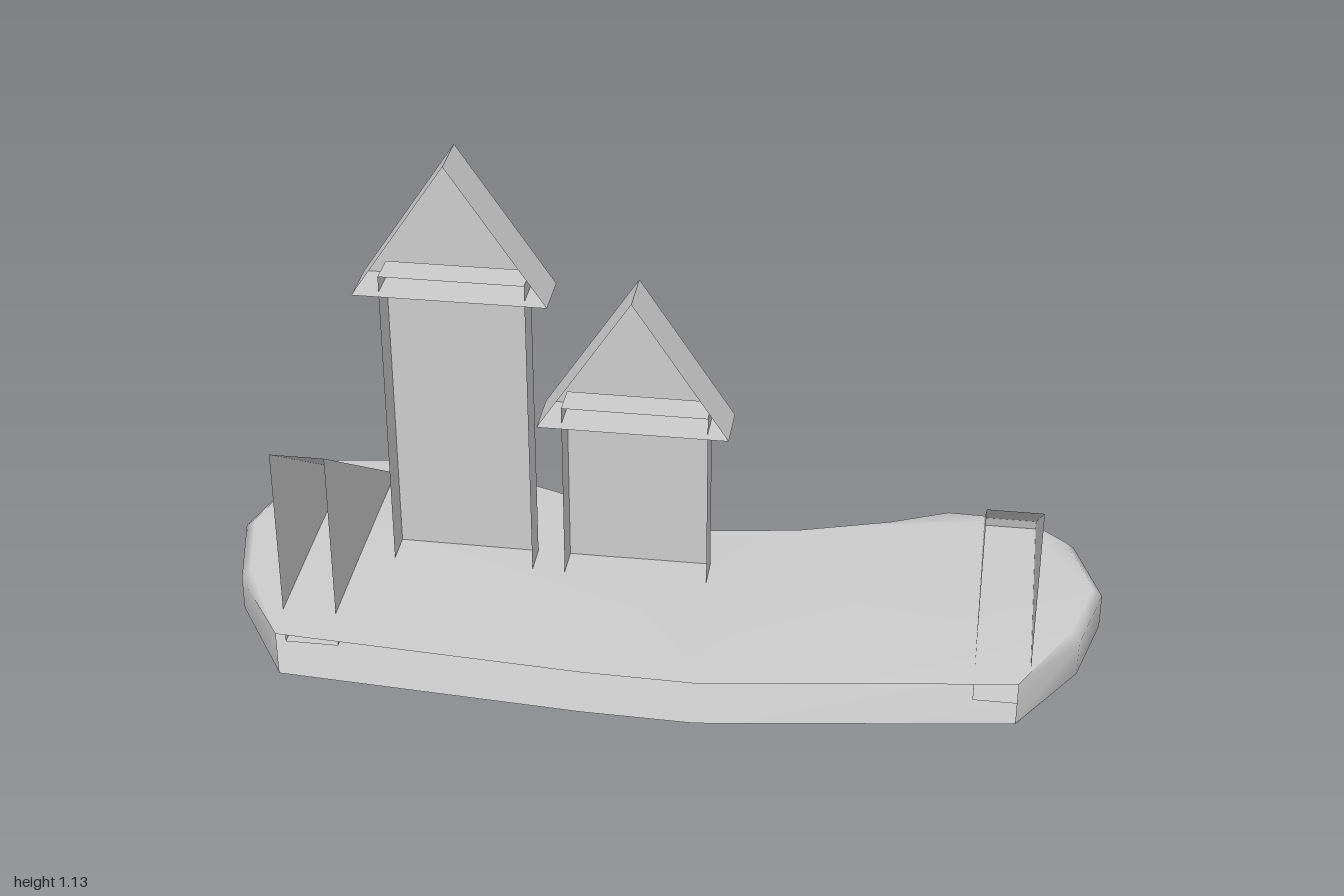
import * as THREE from 'three';

const material = new THREE.MeshStandardMaterial({ color: 0xcccccc, side: THREE.DoubleSide });

// Flat-shaded shell made of convex panels, each a list of corner points
function panelShell(name, panels) {
  const pos = [];
  for (const p of panels)
    for (let i = 1; i < p.length - 1; i++) pos.push(...p[0], ...p[i], ...p[i + 1]);
  const geo = new THREE.BufferGeometry();
  geo.setAttribute('position', new THREE.Float32BufferAttribute(pos, 3));
  geo.computeVertexNormals();
  const mesh = new THREE.Mesh(geo, material);
  mesh.name = name;
  return mesh;
}

// Extruded (x, y) profile, counter-clockwise, with a back panel and an open front
function openFrontPrism(name, profile, back, front, skipEdge = -1) {
  const panels = [profile.map(([x, y]) => [x, y, back]).reverse()];
  profile.forEach(([x, y], i) => {
    if (i === skipEdge) return;
    const [u, v] = profile[(i + 1) % profile.length];
    panels.push([[x, y, back], [u, v, back], [u, v, front], [x, y, front]]);
  });
  return panelShell(name, panels);
}

// Tower with a gabled roof
function createTower(name, left, right, top, roof) {
  const group = new THREE.Group();
  group.name = name;
  group.add(openFrontPrism('towerWalls',
    [[left, 0.12], [right, 0.12], [right, top], [left, top]], -0.037, 0.039, 0));
  group.add(openFrontPrism('towerRoof',
    [[roof.left, roof.eave], [roof.right, roof.eave], [(roof.left + roof.right) / 2, roof.peak]], -0.057, 0.06));
  return group;
}

// Sloped wedge, open at its tall front end
function createRamp(name, x0, x1) {
  const side = [[0.27, 0.03], [0.27, 0.525], [-0.28, 0.15], [-0.288, 0.12], [-0.288, 0.03]];
  const at = (x) => side.map(([z, y]) => [x, y, z]);
  const a = at(x0), b = at(x1);
  const panels = [a.slice().reverse(), b];
  for (let i = 1; i < side.length; i++) {
    const j = (i + 1) % side.length;
    panels.push([a[i], a[j], b[j], b[i]]);
  }
  return panelShell(name, panels);
}

// Kidney-shaped slab with softened edges, open along the front
function createBase() {
  // (x, z) outline from the front right corner round the back to the front left corner
  const wall = [[0.82, 0.315], [0.95, 0.13], [1, -0.06], [0.935, -0.25], [0.825, -0.345], [0.635, -0.35],
    [0.5, -0.29], [0.29, -0.225], [0.1, -0.195], [-0.08, -0.225], [-0.29, -0.31], [-0.59, -0.415],
    [-0.855, -0.375], [-0.94, -0.29], [-1, -0.07], [-0.95, 0.145], [-0.81, 0.36]];
  const frontEdge = [[-0.12, 0.405], [0.13, 0.41]];
  const outline = [...wall, ...frontEdge];
  const n = outline.length;
  const pos = [], index = [];
  // Cross-section rings: height on the wall, height at the front, inset
  const rings = [[0, 0.008, 0.022], [0.022, 0.01, 0], [0.105, 0.113, 0], [0.125, 0.115, 0.022]];
  for (const [y, yFront, inset] of rings) {
    outline.forEach(([x, z], i) => {
      if (i === 0 || i >= wall.length - 1) { pos.push(x, yFront, z); return; }
      const p = outline[i - 1], q = outline[i + 1];
      const dx = q[0] - p[0], dz = q[1] - p[1], len = Math.hypot(dx, dz);
      pos.push(x + (dz / len) * inset, y, z - (dx / len) * inset);
    });
  }
  // Side wall, leaving out the front edge
  for (let r = 0; r < rings.length - 1; r++)
    for (let i = 0; i < wall.length - 1; i++) {
      const a = r * n + i, b = a + 1, c = a + n, d = c + 1;
      index.push(a, b, d, a, d, c);
    }
  // Top and bottom surfaces
  for (const [ring, up] of [[0, -1], [rings.length - 1, 1]]) {
    const pts = outline.map((_, i) => new THREE.Vector2(pos[(ring * n + i) * 3], pos[(ring * n + i) * 3 + 2]));
    for (const [a, b, c] of THREE.ShapeUtils.triangulateShape(pts, [])) {
      const turn = pts[b].clone().sub(pts[a]).cross(pts[c].clone().sub(pts[a]));
      const t = turn * up < 0 ? [a, b, c] : [a, c, b];
      index.push(...t.map((i) => ring * n + i));
    }
  }
  const geo = new THREE.BufferGeometry();
  geo.setAttribute('position', new THREE.Float32BufferAttribute(pos, 3));
  geo.setIndex(index);
  geo.computeVertexNormals();
  const mesh = new THREE.Mesh(geo, material);
  mesh.name = 'base';
  return mesh;
}

export function createModel() {
  const model = new THREE.Group();
  model.name = 'towersOnBase';
  model.add(
    createBase(),
    createTower('tallTower', -0.615, -0.293, 0.853, { left: -0.67, right: -0.24, eave: 0.815, peak: 1.135 }),
    createTower('shortTower', -0.218, 0.108, 0.555, { left: -0.27, right: 0.157, eave: 0.515, peak: 0.838 }),
    createRamp('rightRamp', -0.818, -0.697),
    createRamp('leftRamp', 0.725, 0.845),
  );
  return model;
}
